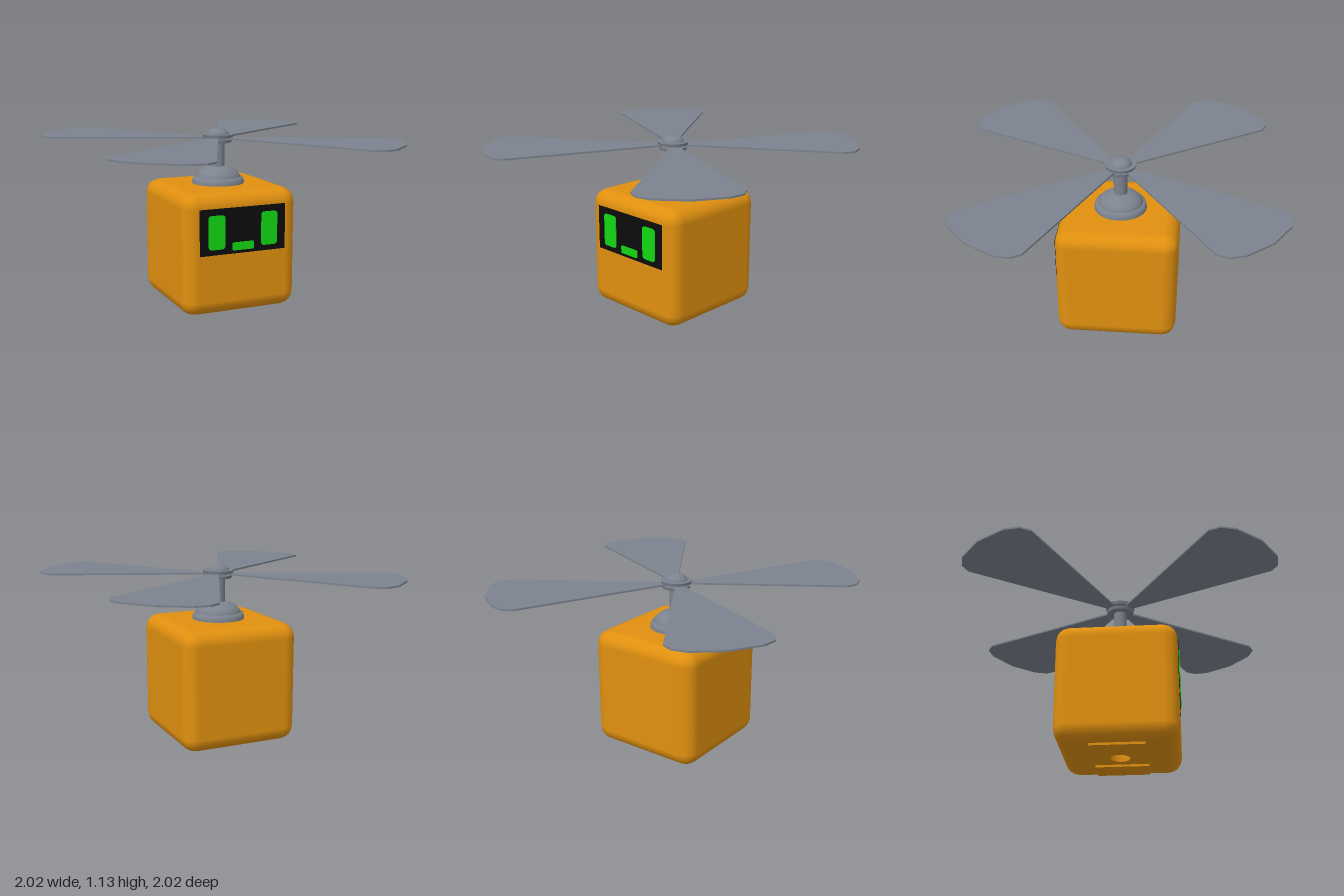
import * as THREE from 'three';
import { RoundedBoxGeometry } from 'three/addons/geometries/RoundedBoxGeometry.js';

const material = (name, color) => Object.assign(new THREE.MeshStandardMaterial({ color }), { name });

export function createModel() {
  const orange = material('orange', 0xe0900f);
  const grey = material('grey', 0x7c838e);
  const black = material('black', 0x0c0c0c);
  const green = material('green', 0x12d812);
  const orangeInside = material('orange inside', 0xe0900f);
  orangeInside.side = THREE.BackSide;

  const model = new THREE.Group();
  const cx = -0.016, cz = 0.008, size = 0.76, radius = 0.09, bottom = 0.015;
  const add = (name, geometry, mat, x = 0, y = 0, z = 0, parent = model) => {
    const mesh = new THREE.Mesh(geometry, mat);
    mesh.name = name;
    mesh.position.set(x, y, z);
    parent.add(mesh);
    return mesh;
  };

  // Rounded cube with its flat underside left open
  const cube = new RoundedBoxGeometry(size, size, size, 2, radius);
  const source = cube.index ? cube.toNonIndexed() : cube;
  const p = source.attributes.position, n = source.attributes.normal;
  const positions = [], normals = [];
  for (let i = 0; i < p.count; i += 3) {
    if ([0, 1, 2].every(k => p.getY(i + k) < -size / 2 + 1e-4)) continue;
    for (let k = i; k < i + 3; k++) {
      positions.push(p.getX(k), p.getY(k), p.getZ(k));
      normals.push(n.getX(k), n.getY(k), n.getZ(k));
    }
  }
  const shell = new THREE.BufferGeometry();
  shell.setAttribute('position', new THREE.Float32BufferAttribute(positions, 3));
  shell.setAttribute('normal', new THREE.Float32BufferAttribute(normals, 3));
  add('body', shell, orange, cx, bottom + size / 2, cz);

  // Underside with a round socket
  const f = size / 2 - radius, holeRadius = 0.064;
  const floor = new THREE.Shape([[-f, -f], [f, -f], [f, f], [-f, f]].map(q => new THREE.Vector2(...q)));
  floor.holes.push(new THREE.Path().absarc(0, 0, holeRadius, 0, Math.PI * 2, true));
  add('underside', new THREE.ShapeGeometry(floor, 16).rotateX(Math.PI / 2), orange, cx, bottom, cz);
  add('socketWall', new THREE.CylinderGeometry(holeRadius, holeRadius, 0.08, 32, 1, true),
    orangeInside, cx, bottom + 0.04, cz);
  add('socketEnd', new THREE.CircleGeometry(holeRadius, 32).rotateX(Math.PI / 2), grey, cx, bottom + 0.08, cz);

  // Foot pads
  for (const s of [-1, 1])
    add(s > 0 ? 'leftFoot' : 'rightFoot', new THREE.BoxGeometry(0.17, 0.018, 0.34), orange,
      cx + s * 0.2, 0.009, 0.012);

  // Face screen, eyes and mouth
  const front = cz + size / 2;
  const plate = (w, h, r, depth) => {
    const x = w / 2, y = h / 2, s = new THREE.Shape();
    s.moveTo(-x + r, -y).lineTo(x - r, -y).quadraticCurveTo(x, -y, x, -y + r)
      .lineTo(x, y - r).quadraticCurveTo(x, y, x - r, y)
      .lineTo(-x + r, y).quadraticCurveTo(-x, y, -x, y - r)
      .lineTo(-x, -y + r).quadraticCurveTo(-x, -y, -x + r, -y);
    return new THREE.ExtrudeGeometry(s, { depth, bevelEnabled: false, curveSegments: 4 });
  };
  add('screen', new THREE.BoxGeometry(0.57, 0.285, 0.006), black, cx, 0.543, front);
  for (const s of [-1, 1])
    add(s > 0 ? 'leftEye' : 'rightEye', plate(0.108, 0.21, 0.022, 0.006), green, cx + s * 0.175, 0.54, front + 0.002);
  add('mouth', plate(0.144, 0.05, 0.008, 0.006), green, cx, 0.445, front + 0.002);

  // Corner ticks of the front panel
  for (const sx of [-1, 1]) for (const y of [0.118, 0.388]) {
    add('panelCorner', new THREE.BoxGeometry(0.022, 0.006, 0.006), orange, cx + sx * 0.153, y, front);
    add('panelCorner', new THREE.BoxGeometry(0.006, 0.022, 0.006), orange, cx + sx * 0.161, y, front);
  }

  // Turned mast parts
  const turn = (name, points) =>
    add(name, new THREE.LatheGeometry(points.map(q => new THREE.Vector2(...q)), 32), grey, cx, 0, cz);
  const dome = (r, y, h, steps, from = 0) => Array.from({ length: steps + 1 }, (_, i) => {
    const a = from + (Math.PI / 2 - from) * i / steps;
    return [Math.max(0, r * Math.cos(a)), y + h * Math.sin(a)];
  });
  turn('mastCollar', [[0.166, 0.77], [0.166, 0.79], [0.158, 0.812], [0.14, 0.815]]);
  turn('mastDome', dome(0.143, 0.805, 0.083, 8));
  add('mast', new THREE.CylinderGeometry(0.043, 0.043, 0.2, 24), grey, cx, 0.96, cz);
  add('lowerHubDisc', new THREE.CylinderGeometry(0.09, 0.085, 0.02, 32), grey, cx, 1.044, cz);
  add('hubCore', new THREE.CylinderGeometry(0.06, 0.06, 0.04, 24), grey, cx, 1.06, cz);
  add('upperHubDisc', new THREE.CylinderGeometry(0.098, 0.093, 0.02, 32), grey, cx, 1.075, cz);
  turn('hubCap', dome(0.07, 1.08, 0.046, 8));

  // Four fan-shaped blades
  const side = [[0.05, 0.018], [1.02, 0.302], [1.088, 0.278], [1.14, 0.2]];
  const outline = [...side.map(([u, v]) => [u, -v]), [1.173, 0], ...side.slice().reverse()];
  const bladeGeometry = new THREE.ExtrudeGeometry(
    new THREE.Shape(outline.map(q => new THREE.Vector2(...q))), { depth: 0.011, bevelEnabled: false });
  bladeGeometry.rotateX(-Math.PI / 2);
  const rotor = new THREE.Group();
  rotor.name = 'rotor';
  rotor.position.set(cx, 1.055, cz);
  for (let i = 0; i < 4; i++) {
    const blade = add('blade', bladeGeometry, grey, 0, 0, 0, rotor);
    blade.rotation.set(0, THREE.MathUtils.degToRad(-40.5 + 90 * i), i === 0 ? -0.006 : 0, 'YXZ');
  }
  model.add(rotor);
  return model;
}
